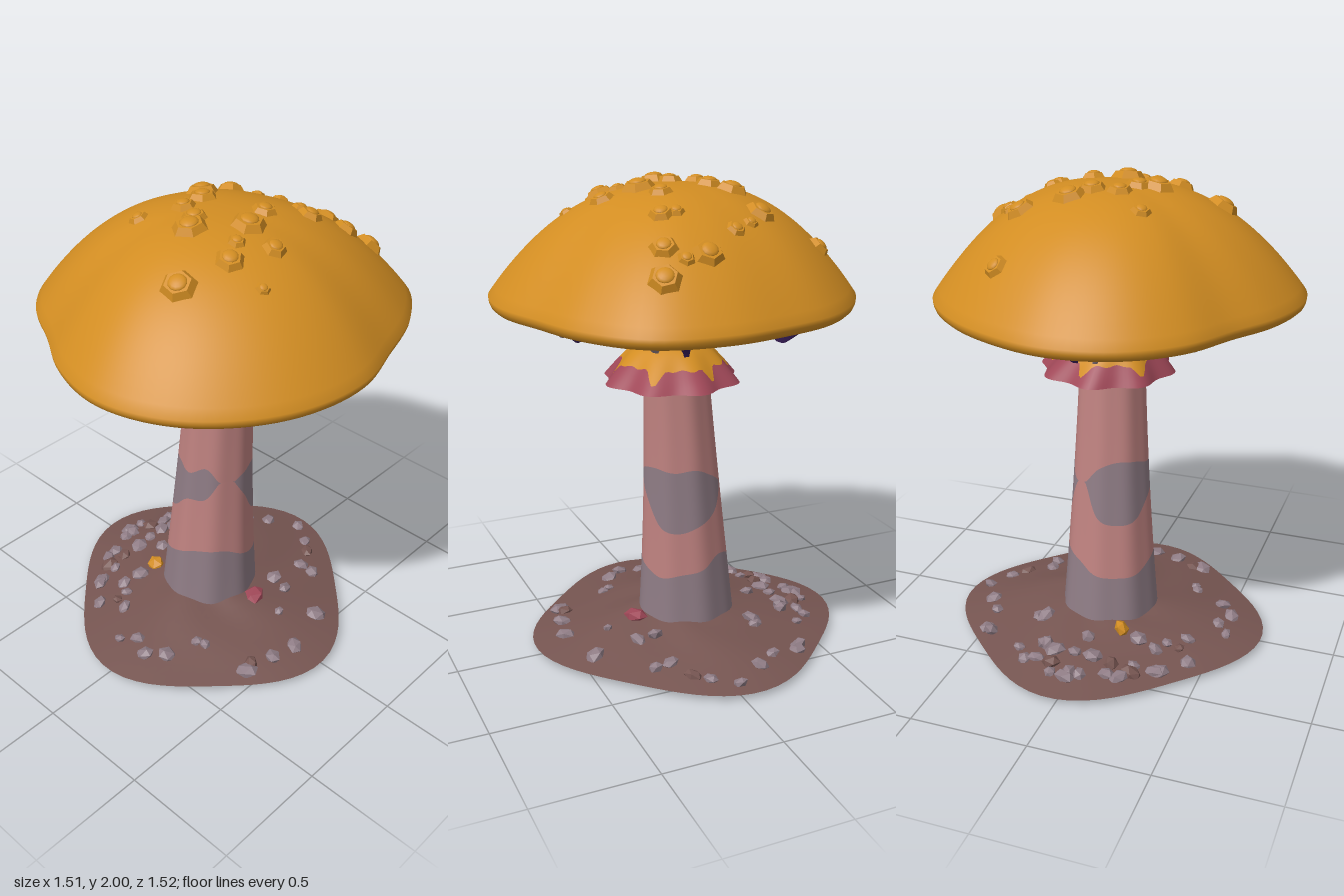
import * as THREE from 'three';

const mat = (name, color, side = THREE.FrontSide) => {
  const m = new THREE.MeshStandardMaterial({ color, side });
  m.name = name;
  return m;
};
const orange = mat('orange', 0xd28d22, THREE.DoubleSide);
const pink = mat('pink', 0xbf8280);
const grey = mat('mauveGrey', 0x8f7c85);
const red = mat('crimson', 0xa04858, THREE.DoubleSide);
const soilBrown = mat('soilBrown', 0x765551, THREE.DoubleSide);
const purple = mat('purple', 0x3a1f5c);

const TAU = Math.PI * 2;
let seed = 7;
const rnd = () => (seed = (seed * 16807) % 2147483647) / 2147483647;

// Smooth periodic interpolation of values spaced evenly round a circle
function around(values) {
  const n = values.length;
  return a => {
    const u = (((a / TAU) % 1) + 1) % 1 * n, i = Math.floor(u), f = u - i;
    const [p, q, r, s] = [-1, 0, 1, 2].map(k => values[(i + k + n) % n]);
    return q + 0.5 * f * (r - p + f * (2 * p - 5 * q + 4 * r - s + f * (3 * (q - r) + s - p)));
  };
}

// Closed rings of points joined into a skin; rows run upwards on the outside
function loft(rows, cols, point) {
  const pos = [], idx = [];
  for (let i = 0; i <= rows; i++)
    for (let j = 0; j < cols; j++) pos.push(...point(i / rows, (j / cols) * TAU, j, i));
  for (let i = 0; i < rows; i++)
    for (let j = 0; j < cols; j++) {
      const k = (j + 1) % cols, a = i * cols + j, b = i * cols + k;
      idx.push(a, a + cols, b, b, a + cols, b + cols);
    }
  const g = new THREE.BufferGeometry();
  g.setAttribute('position', new THREE.Float32BufferAttribute(pos, 3));
  g.setIndex(idx);
  g.computeVertexNormals();
  return g;
}

function flat(g) {
  const f = g.toNonIndexed();
  f.computeVertexNormals();
  return f;
}

// Cap outline and height
const capRadius = around([.752, .768, .777, .784, .772, .722, .68, .725, .757,
  .757, .732, .728, .733, .732, .775, .815, .77, .725]);
const capY = t => 1.53 + 0.44 * (1 - Math.pow(t, 2.4));
const capHeight = (x, z) => capY(Math.hypot(x, z) / capRadius(Math.atan2(z, x)));
const onCap = (s, y, a) => [Math.cos(a) * capRadius(a) * s, y, Math.sin(a) * capRadius(a) * s];

// Underside of the cap, rising towards the stem
const underY = s => 1.485 + 0.13 * (1 - Math.pow(s / 0.96, 2));

// Leaning, tapering stem
function stemPoint(a, y, scale = 1) {
  const t = y / 1.6, r = (0.13 + 0.09 * Math.pow(1 - t, 1.6)) * (1 + 0.018 * Math.cos(8 * a)) * scale;
  return [-0.045 + 0.08 * Math.pow(t, 1.3) + r * Math.cos(a), y, -0.016 * t + r * Math.sin(a)];
}

export function createModel() {
  const model = new THREE.Group();
  const add = (name, geometry, material, parent = model) => {
    const m = new THREE.Mesh(geometry, material);
    m.name = name;
    parent.add(m);
    return m;
  };
  const group = name => {
    const g = new THREE.Group();
    g.name = name;
    model.add(g);
    return g;
  };

  // Cap with a rolled lip
  const lip = [[.95, 1.485], [.975, 1.487], [.99, 1.497], [.998, 1.512]];
  add('cap', loft(32, 108, (v, a, j, i) => {
    if (i < 4) return onCap(...lip[i], a);
    const t = 1 - (i - 4) / 28;
    return onCap(t, capY(t), a);
  }), orange);
  add('capUnderside', loft(10, 108, (v, a) => {
    const s = 0.12 + 0.84 * v;
    return onCap(s, underY(s), a);
  }), purple);

  // Gills: ridges hanging through the underside, grey inside and purple at their outer ends
  const gillCount = 46, perGill = 5;
  const gillPoint = (v, a, j) => {
    const gill = Math.floor(j / perGill), ridge = j % perGill === 1 || j % perGill === 2;
    const s = 0.15 + (0.77 + 0.03 * Math.sin(gill * 2.4)) * v;
    const swell = Math.min(1, (1 - v) * 7) * (0.88 + 0.15 * Math.sin(gill * 5.1 + v * 9));
    const wobble = 0.025 * Math.sin(v * 13 + gill * 1.7) * v;
    return onCap(s, underY(s) - (ridge ? 0.1 * swell * (0.4 + 0.6 * v) - 0.004 : -0.012), a + wobble);
  };
  const gillSplit = j => 0.86 + 0.09 * Math.sin(Math.floor(j / perGill) * 3.7);
  add('gills', loft(16, gillCount * perGill, (v, a, j) => gillPoint(v * gillSplit(j), a, j)), grey);
  add('gillTips', loft(5, gillCount * perGill, (v, a, j) =>
    gillPoint(gillSplit(j) + (1 - gillSplit(j)) * v, a, j)), purple);

  // Warts: x, z, radius
  const warts = [
    [.11, -.535, .069], [.2, -.54, .04], [.3, -.58, .073], [.26, -.475, .06], [-.05, -.434, .045],
    [-.134, -.39, .036], [-.215, -.312, .069], [-.487, -.296, .056], [.146, -.325, .042], [.203, -.316, .057],
    [-.187, -.118, .073], [-.118, -.049, .065], [-.114, .061, .057], [.126, -.134, .057], [.166, 0, .077],
    [.312, .02, .057], [-.012, .105, .06], [.028, .17, .077], [.211, .114, .042], [.256, .199, .065],
    [-.231, .187, .045], [.406, .187, .033], [.19, .393, .077]];
  const padShape = flat(new THREE.CylinderGeometry(0.68, 1.1, 0.6, 6));
  const knobShape = new THREE.SphereGeometry(0.48, 12, 8);
  const wartGroup = group('warts');
  for (const [x, z, r] of warts) {
    const e = 0.02;
    const normal = new THREE.Vector3(capHeight(x - e, z) - capHeight(x + e, z), 2 * e,
      capHeight(x, z - e) - capHeight(x, z + e)).normalize();
    const wart = new THREE.Group();
    wart.name = 'wart';
    wart.position.set(x, capHeight(x, z), z);
    wart.quaternion.setFromUnitVectors(new THREE.Vector3(0, 1, 0), normal);
    wart.scale.setScalar(r);
    const pad = add('wartPad', padShape, orange, wart);
    pad.rotation.y = rnd() * TAU;
    pad.position.y = 0.03;
    pad.scale.set(1, 1, 0.88 + rnd() * 0.12);
    const knob = add('wartKnob', knobShape, orange, wart);
    knob.position.y = 0.31;
    knob.scale.y = 0.42;
    wartGroup.add(wart);
  }

  // Stem in stacked bands with wavy borders, every 30 degrees
  const borders = [
    () => 0.1,
    around([.35, .40, .40, .37, .32, .31, .32, .37, .40, .35, .33, .31]),
    around([.69, .80, .68, .66, .57, .55, .58, .74, .60, .55, .52, .55]),
    around([.79, .75, .84, .80, .82, .83, .80, .715, .76, .80, .79, .80]),
    around([1.24, 1.25, 1.24, 1.25, 1.24, 1.23, 1.22, 1.19, 1.17, 1.15, 1.15, 1.2]),
    () => 1.6];
  const stem = group('stem');
  ['stemFoot', 'lowerStem', 'stemPatch', 'upperStem', 'stemNeck'].forEach((name, k) =>
    add(name, loft(8, 96, (v, a) => {
      // Where a patch pinches out, both its borders meet halfway
      const [lo, hi] = [borders[2](a), borders[3](a)];
      const edge = i => (i === 2 || i === 3) && lo > hi ? (lo + hi) / 2 : borders[i](a);
      return stemPoint(a, edge(k) + (edge(k + 1) - edge(k)) * v);
    }), k % 2 ? pink : grey, stem));
  add('stemRoot', loft(8, 96, (v, a) => {
    const s = Math.sin(v * Math.PI / 2);
    return stemPoint(a, 0.1 * (1 - Math.cos(v * Math.PI / 2)), Math.max(s, 0.001));
  }), grey, stem);

  // Flared, ruffled skirt below the cap
  const skirtPoint = (a, y) => {
    const k = (1.33 - y) / 0.15;
    const r = 0.13 + 0.145 * Math.pow(Math.max(k, 0), 0.8) + 0.016 * k * Math.cos(8 * a + 0.5);
    return [0.032 + 0.013 * k + r * Math.cos(a), y, -0.016 - 0.029 * k + r * Math.sin(a)];
  };
  const drip = a => 1.257 - 0.045 * Math.pow(Math.max(0, Math.sin(6 * a + 0.6)), 4) + 0.004 * Math.sin(17 * a);
  const skirt = group('skirt');
  add('skirtHem', loft(3, 96, (v, a) => skirtPoint(a, 1.18 + (drip(a) - 1.18) * v)), red, skirt);
  add('skirtTop', loft(6, 96, (v, a) => skirtPoint(a, drip(a) + (1.33 - drip(a)) * v)), orange, skirt);

  // Soil: a rounded square mound turned by 45 degrees
  const soilPoint = (t, a) => {
    const c = Math.cos(a), s = Math.sin(a);
    const r = t * Math.pow(Math.pow(Math.abs(c) / 0.59, 3.1) + Math.pow(Math.abs(s) / 0.62, 3.1), -1 / 3.1);
    const bump = 0.008 * Math.sin(5 * a + 9 * t) * (1 - t);
    return [-0.035 + r * (c + s) * Math.SQRT1_2, 0.022 + 0.14 * (1 - t) + bump, r * (s - c) * Math.SQRT1_2];
  };
  add('soil', loft(10, 72, (v, a) => soilPoint(1 - 0.78 * v, a)), soilBrown);

  // Pebbles, thickest on the right-hand side
  const pebbles = group('pebbles');
  const pebbleShape = new THREE.IcosahedronGeometry(1, 0);
  const pebble = (p, r, material) => {
    const m = add('pebble', pebbleShape, material, pebbles);
    m.position.set(...p);
    m.rotation.set(rnd() * 0.6, rnd() * TAU, rnd() * 0.6);
    m.scale.set(r * (0.9 + rnd() * 0.4), r * 0.65, r * (0.75 + rnd() * 0.3));
  };
  for (let i = 0; i < 52; i++) {
    const a = i < 18 ? 1.25 * Math.PI + (rnd() - 0.5) * 2 : (i + rnd()) / 34 * TAU;
    const p = soilPoint(0.42 + 0.48 * Math.sqrt(rnd()), a);
    pebble(p, 0.026 + rnd() * 0.018, i % 9 === 4 ? soilBrown : grey);
  }
  pebble([-0.27, 0.11, 0.13], 0.042, orange);
  pebble([0.21, 0.11, -0.03], 0.048, red);

  return model;
}
